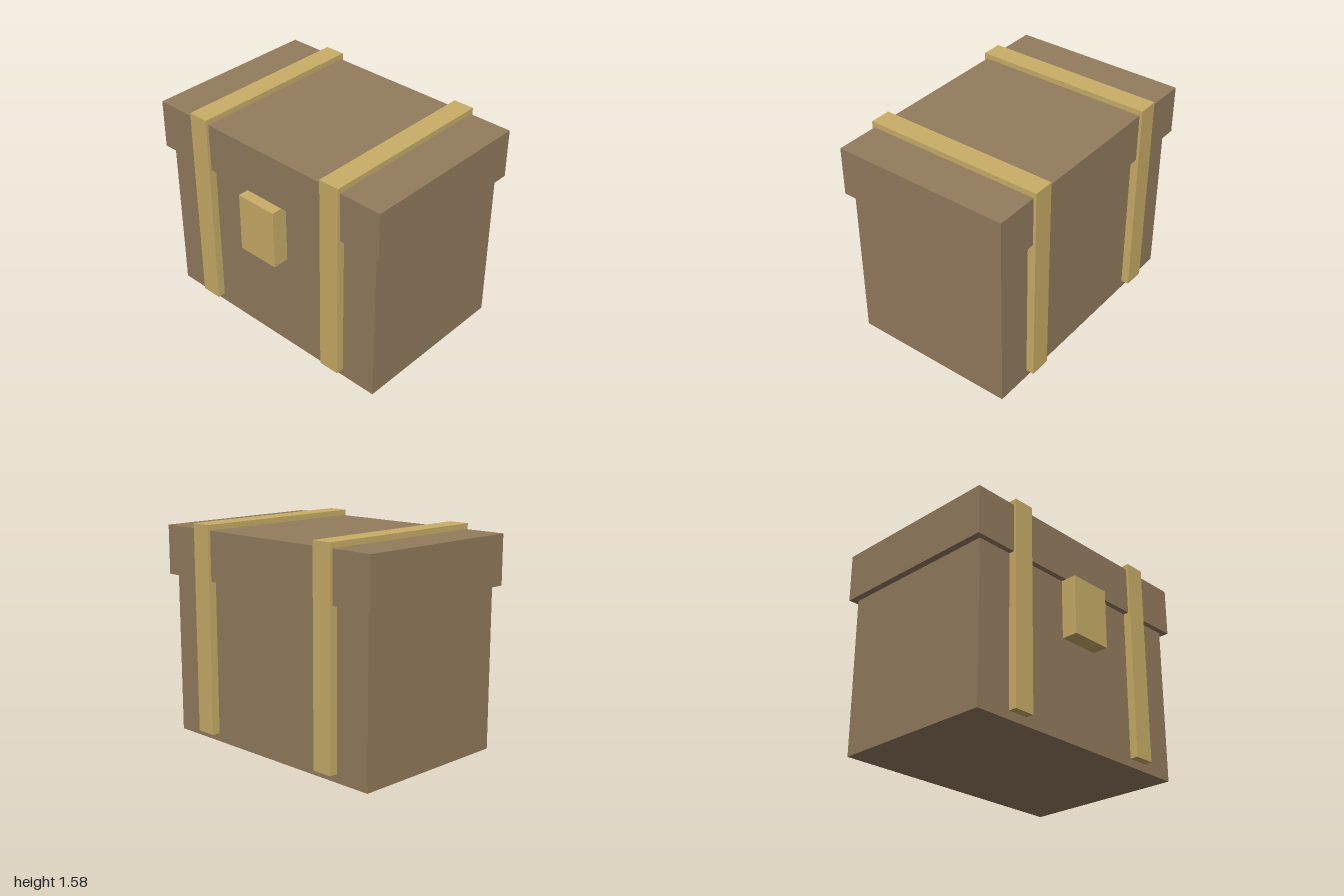
import * as THREE from 'three';

export function createModel() {
  const chest = new THREE.Group();
  chest.name = 'chest';

  const wood = new THREE.MeshStandardMaterial({ color: 0x947c5e });
  wood.name = 'brown wood';
  const brass = new THREE.MeshStandardMaterial({ color: 0xc9ae68 });
  brass.name = 'pale brass';

  // Box given by its minimum and maximum corners
  function addBox(name, material, [x0, y0, z0], [x1, y1, z1]) {
    const mesh = new THREE.Mesh(new THREE.BoxGeometry(x1 - x0, y1 - y0, z1 - z0), material);
    mesh.position.set((x0 + x1) / 2, (y0 + y1) / 2, (z0 + z1) / 2);
    mesh.name = name;
    chest.add(mesh);
  }

  addBox('body', wood, [-0.95, 0, -0.65], [0.95, 1.18, 0.59]);
  addBox('lid', wood, [-1, 1.18, -0.69], [1, 1.54, 0.63]);
  addBox('latch', brass, [-0.16, 0.74, 0.58], [0.16, 1.18, 0.71]);

  // Straps: an upside-down U in the side plane (z, y), seated slightly into the wood
  const profile = new THREE.Shape([
    [-0.71, 0.06], [-0.64, 0.06], [-0.64, 1.53], [0.58, 1.53],
    [0.58, 0.06], [0.65, 0.06], [0.65, 1.58], [-0.71, 1.58],
  ].map(([z, y]) => new THREE.Vector2(z, y)));
  const width = 0.156;
  const strap = new THREE.ExtrudeGeometry(profile, { depth: width, bevelEnabled: false });
  strap.translate(0, 0, -width / 2).rotateY(-Math.PI / 2);
  for (const [name, x] of [['leftStrap', 0.6], ['rightStrap', -0.6]]) {
    const mesh = new THREE.Mesh(strap, brass);
    mesh.position.x = x;
    mesh.name = name;
    chest.add(mesh);
  }

  return chest;
}
